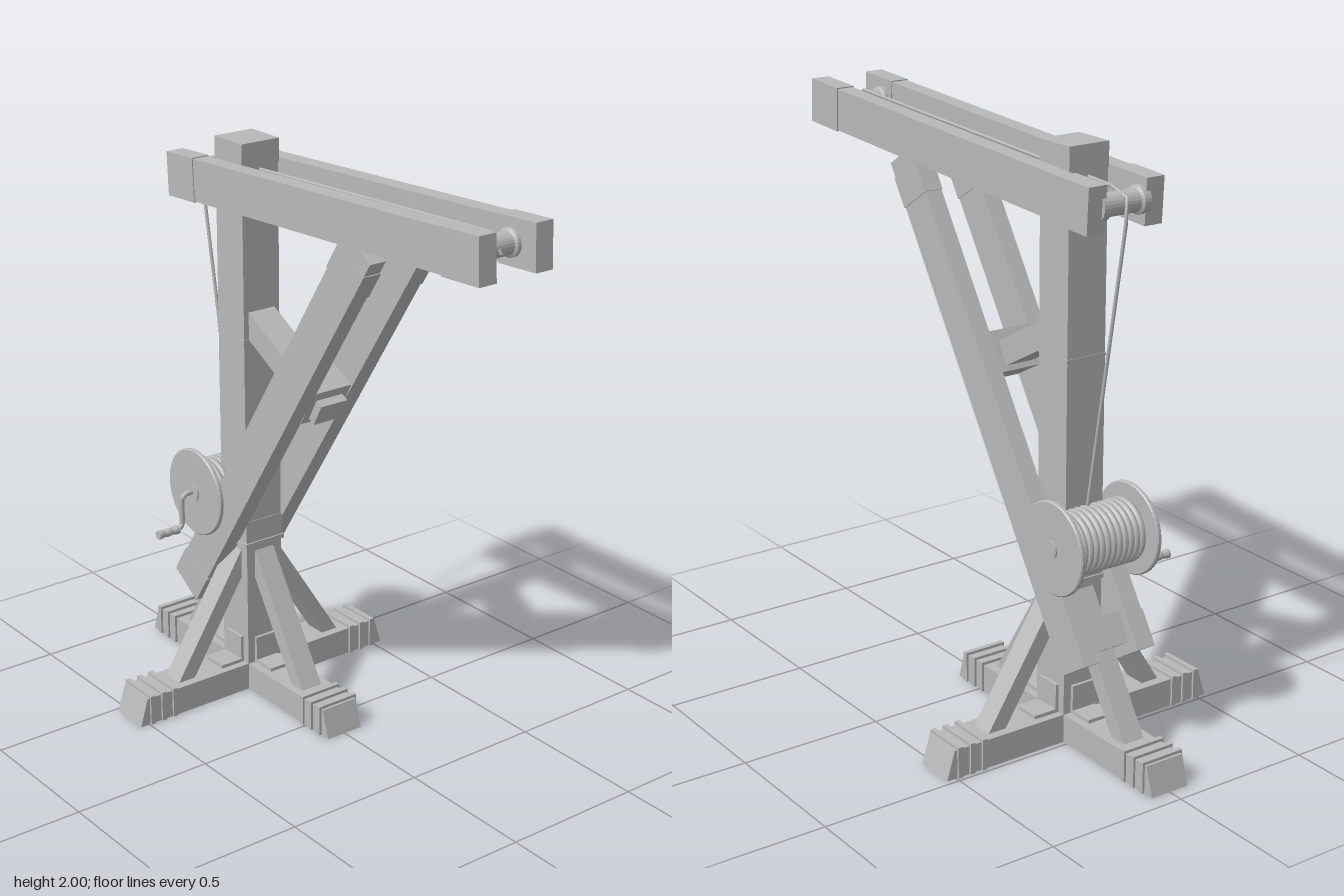
import * as THREE from 'three';

export function createModel() {
  const model = new THREE.Group();
  model.name = 'woodenCrane';
  const grey = new THREE.MeshStandardMaterial({ color: 0xb8b8b8 });
  grey.name = 'plain grey';
  const POST_Z = -0.41;

  const add = (name, geometry, parent = model) => {
    const mesh = new THREE.Mesh(geometry, grey);
    mesh.name = name;
    parent.add(mesh);
    return mesh;
  };
  const box = (name, w, h, d, x, y, z, parent) => {
    const mesh = add(name, new THREE.BoxGeometry(w, h, d), parent);
    mesh.position.set(x, y, z);
    return mesh;
  };
  // Square timber between two points; sizes are across and thickness
  const timber = (name, w, t, a, b, parent = model) => {
    const from = new THREE.Vector3(...a), to = new THREE.Vector3(...b);
    const mesh = new THREE.Mesh(new THREE.BoxGeometry(w, t, from.distanceTo(to)), grey);
    mesh.name = name;
    mesh.position.copy(from).add(to).multiplyScalar(0.5);
    mesh.lookAt(to);
    parent.add(mesh);
    return mesh;
  };
  // Sleeve around part of a timber, from fraction s to fraction e
  const sleeve = (name, w, t, a, b, s, e) => {
    const at = f => a.map((v, i) => v + (b[i] - v) * f);
    timber(name, w, t, at(s), at(e));
  };
  const rod = (name, r, points, parent) => {
    const path = new THREE.CurvePath();
    const v = points.map(p => new THREE.Vector3(...p));
    for (let i = 1; i < v.length; i++) path.add(new THREE.LineCurve3(v[i - 1], v[i]));
    return add(name, new THREE.TubeGeometry(path, (v.length - 1) * 4, r, 8), parent);
  };
  // Turned part around the x axis; profile is [radius, x]
  const turned = (name, profile, y, z, sides = 32) => {
    const pts = profile.map(([r, h]) => new THREE.Vector2(r, h));
    const geometry = new THREE.LatheGeometry(pts, sides).toNonIndexed();
    geometry.computeVertexNormals();
    const mesh = add(name, geometry);
    mesh.rotation.z = -Math.PI / 2;
    mesh.position.set(0, y, z);
    return mesh;
  };

  // Cross-shaped foot with tapered ends and raised bands
  const base = new THREE.Group();
  base.name = 'base';
  base.position.z = POST_Z;
  model.add(base);
  const sill = new THREE.Shape([[-0.535, 0], [0.535, 0], [0.505, 0.1], [-0.505, 0.1]]
    .map(p => new THREE.Vector2(...p)));
  for (let i = 0; i < 2; i++) {
    const g = new THREE.ExtrudeGeometry(sill, { depth: 0.144, bevelEnabled: false });
    g.translate(0, 0, -0.072);
    add('footBeam', g, base).rotation.y = i * Math.PI / 2;
  }
  // Each arm: bands, diagonal brace and corner bracket
  for (let i = 0; i < 4; i++) {
    const arm = new THREE.Group();
    arm.name = 'footArm';
    arm.rotation.y = i * Math.PI / 2;
    base.add(arm);
    for (const z of [0.393, 0.44, 0.487]) box('footBand', 0.16, 0.109, 0.018, 0, 0.0555, z, arm);
    const brace = new THREE.Shape([[0.05, 0.47], [0.29, 0.09], [0.357, 0.09], [0.05, 0.575]]
      .map(p => new THREE.Vector2(...p)));
    const g = new THREE.ExtrudeGeometry(brace, { depth: 0.08, bevelEnabled: false });
    g.translate(0, 0, -0.04);
    add('footBrace', g, arm).rotation.y = -Math.PI / 2;
    box('bracketUpright', 0.09, 0.1, 0.012, 0, 0.15, 0.079, arm);
    box('bracketFoot', 0.09, 0.012, 0.1, 0, 0.106, 0.12, arm);
  }

  // Upright post with collar and seam lines
  box('post', 0.148, 1.9, 0.148, 0, 1.04, POST_Z);
  box('postCap', 0.152, 0.08, 0.152, 0, 1.96, POST_Z);
  box('postCollar', 0.164, 0.016, 0.164, 0, 0.565, POST_Z);
  box('postBand', 0.153, 0.08, 0.153, 0, 0.613, POST_Z);
  box('postSeam', 0.152, 0.01, 0.152, 0, 1.32, POST_Z);

  // Twin jib beams and sloping beams, mirrored left and right
  for (const s of [-1, 1]) {
    const jib = [[s * 0.11, 1.924, 0.907], [s * 0.11, 1.844, -0.667]];
    timber('jibBeam', 0.06, 0.144, ...jib);
    sleeve('jibFrontCap', 0.067, 0.151, ...jib, 0, 0.105);
    sleeve('jibBackCap', 0.067, 0.151, ...jib, 0.905, 1);
    const slope = [[s * 0.108, 0.33, -0.62], [s * 0.108, 1.83, 0.352]];
    timber('slopingBeam', 0.062, 0.144, ...slope);
    sleeve('slopingBeamFoot', 0.069, 0.15, ...slope, 0, 0.07);
    sleeve('slopingBeamHead', 0.069, 0.15, ...slope, 0.91, 0.97);
  }
  timber('lowerCrosspiece', 0.16, 0.08, [0, 0.36, -0.6], [0, 0.45, -0.542]);
  timber('strutBlock', 0.16, 0.14, [0, 1.255, -0.105], [0, 1.187, 0.02]);
  timber('strut', 0.108, 0.085, [0, 1.385, -0.36], [0, 1.165, 0.042]);

  // Rollers between the jib beams
  for (const [name, y, z] of [['frontRoller', 1.918, 0.8], ['backRoller', 1.847, -0.635]]) {
    turned(name, [[0, -0.09], [0.046, -0.09], [0.046, -0.064], [0.037, -0.058],
      [0.037, 0.058], [0.046, 0.064], [0.046, 0.09], [0, 0.09]], y, z, 24);
  }

  // Winding drum with end discs and coiled rope
  const DY = 0.727, DZ = -0.527;
  turned('drumCore', [[0.095, -0.15], [0.095, 0.15]], DY, DZ);
  for (const s of [-1, 1]) {
    const disc = turned('drumDisc', [[0, -0.009], [0.153, -0.009], [0.157, -0.005],
      [0.157, 0.005], [0.153, 0.009], [0, 0.009]], DY, DZ, 48);
    disc.position.x = s * 0.152;
    const hub = turned('drumHub', [[0, -0.005], [0.03, -0.005], [0.03, 0.005], [0, 0.005]], DY, DZ, 20);
    hub.position.x = s * 0.162;
  }
  for (let i = 0; i < 12; i++) {
    const coil = add('ropeCoil', new THREE.TorusGeometry(0.098, 0.0115, 8, 32));
    coil.rotation.y = Math.PI / 2;
    coil.position.set(-0.127 + i * 0.0231, DY, DZ);
  }

  // Hand crank
  rod('crankArm', 0.01, [[-0.155, DY, -0.535], [-0.193, DY, -0.535], [-0.21, DY - 0.015, -0.535],
    [-0.21, 0.615, -0.535], [-0.225, 0.6, -0.535], [-0.25, 0.6, -0.535]]);
  const grip = turned('crankGrip', [[0, -0.042], [0.016, -0.042], [0.016, -0.03], [0.013, -0.015],
    [0.016, 0], [0.013, 0.015], [0.016, 0.03], [0.016, 0.042], [0, 0.042]], 0.6, -0.535, 16);
  grip.position.x = -0.27;

  // Rope from the drum over both rollers, hanging at the front
  rod('rope', 0.006, [[0, 0.82, -0.5], [0, 1.84, -0.678], [0, 1.87, -0.672], [0, 1.888, -0.65],
    [0, 1.891, -0.63], [0, 1.961, 0.8], [0, 1.952, 0.828], [0, 1.93, 0.843], [0, 1.905, 0.845]]);

  return model;
}
